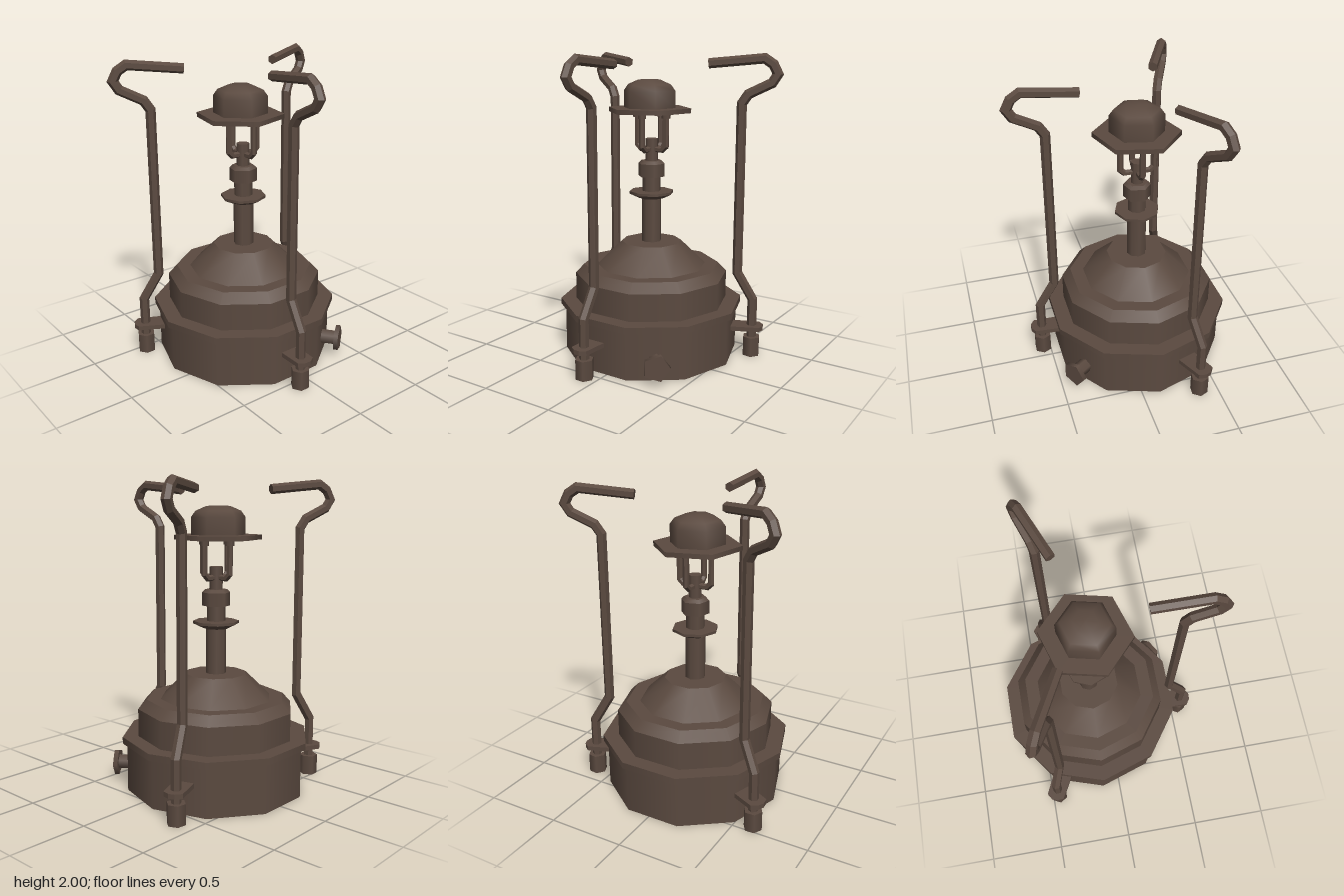
import * as THREE from 'three';

const brown = new THREE.MeshStandardMaterial({ color: 0x5b4a40 });
brown.name = 'agedBrown';
const CX = -0.12, CZ = 0.025; // axis of the tank

function add(parent, name, geometry) {
  const mesh = new THREE.Mesh(geometry, brown);
  mesh.name = name;
  parent.add(mesh);
  return mesh;
}

// Upright tapered prism between two heights
function prism(parent, name, y0, y1, r0, r1, sides, turn = 0) {
  const g = new THREE.CylinderGeometry(r1, r0, y1 - y0, sides, 1, false, turn);
  g.translate(0, (y0 + y1) / 2, 0);
  return add(parent, name, g);
}

// Mitred rod following a path in the local xy plane
function rod(path, r, sides) {
  const pts = path.map(([x, y]) => new THREE.Vector2(x, y));
  const pos = [], idx = [], last = pts.length - 1;
  pts.forEach((p, i) => {
    const before = pts[Math.max(i, 1)].clone().sub(pts[Math.max(i, 1) - 1]).normalize();
    const k = Math.min(i, last - 1);
    const after = pts[k + 1].clone().sub(pts[k]).normalize();
    const t = before.clone().add(after).normalize();
    const miter = 1 / t.dot(after);
    for (let j = 0; j < sides; j++) {
      const a = (j / sides) * Math.PI * 2, c = Math.cos(a) * r * miter;
      pos.push(p.x - t.y * c, p.y + t.x * c, Math.sin(a) * r);
    }
  });
  for (let i = 0; i < last; i++) {
    for (let j = 0; j < sides; j++) {
      const a = i * sides + j, b = i * sides + (j + 1) % sides;
      idx.push(a, b, a + sides, b, b + sides, a + sides);
    }
  }
  for (let j = 1; j < sides - 1; j++) {
    idx.push(0, j + 1, j);
    idx.push(last * sides, last * sides + j, last * sides + j + 1);
  }
  const g = new THREE.BufferGeometry();
  g.setAttribute('position', new THREE.Float32BufferAttribute(pos, 3));
  g.setIndex(idx);
  const flat = g.toNonIndexed();
  flat.computeVertexNormals();
  return flat;
}

// Pot-support leg; local x runs outward from the hook tip
function makeLeg(name, x, z, angle) {
  const leg = new THREE.Group();
  leg.name = name;
  add(leg, 'legRod', rod([
    [0.32, 0.05], [0.32, 0.39], [0.215, 0.57], [0.215, 1.685], [0.255, 1.745], [0.4, 1.815],
    [0.435, 1.87], [0.405, 1.93], [0.35, 1.967], [0, 1.935],
  ], 0.032, 6));
  prism(leg, 'legFoot', 0, 0.13, 0.06, 0.06, 6).position.x = 0.32;

  const plate = new THREE.Shape([
    [0.17, -0.065], [0.37, -0.06], [0.395, -0.02], [0.395, 0.02], [0.37, 0.06], [0.17, 0.065],
  ].map(([u, v]) => new THREE.Vector2(u, v)));
  const g = new THREE.ExtrudeGeometry(plate, { depth: 0.03, bevelEnabled: false });
  g.rotateX(-Math.PI / 2).translate(0, 0.18, 0);
  add(leg, 'legBracket', g);

  leg.position.set(x, 0, z);
  leg.rotation.y = -THREE.MathUtils.degToRad(angle);
  return leg;
}

export function createModel() {
  const model = new THREE.Group();
  model.name = 'campStove';

  const core = new THREE.Group();
  core.name = 'tankAndBurner';
  core.position.set(CX, 0, CZ);
  model.add(core);

  // Fuel tank
  prism(core, 'tankBase', 0, 0.32, 0.585, 0.585, 10);
  prism(core, 'tankFlange', 0.317, 0.36, 0.615, 0.615, 10);
  prism(core, 'tankUpper', 0.36, 0.54, 0.512, 0.512, 10);
  prism(core, 'tankShoulder', 0.54, 0.6, 0.512, 0.455, 10);
  prism(core, 'tankCone', 0.6, 0.76, 0.365, 0.2, 10);

  // Riser pipe with priming cup and nut
  prism(core, 'riserPipe', 0.76, 1.08, 0.066, 0.066, 8);
  prism(core, 'cupBowl', 1.055, 1.085, 0.085, 0.148, 8);
  prism(core, 'cupRim', 1.085, 1.102, 0.148, 0.148, 8);
  prism(core, 'upperPipe', 1.1, 1.2, 0.06, 0.06, 8);
  prism(core, 'nut', 1.2, 1.285, 0.09, 0.09, 6, 0.3);
  prism(core, 'nutTop', 1.285, 1.305, 0.09, 0.07, 6, 0.3);
  prism(core, 'jetPipe', 1.3, 1.45, 0.042, 0.042, 8);

  // Four curved feed tubes
  for (let i = 0; i < 4; i++) {
    const tube = new THREE.Group();
    tube.name = 'feedTube';
    tube.rotation.y = i * Math.PI / 2;
    add(tube, 'feedPipe', rod([[0.02, 1.38], [0.085, 1.38], [0.112, 1.405], [0.112, 1.63]], 0.02, 6));
    prism(tube, 'feedCollar', 1.585, 1.625, 0.029, 0.029, 6).position.x = 0.112;
    core.add(tube);
  }

  // Flame spreader and cap
  const turn = THREE.MathUtils.degToRad(17);
  prism(core, 'burnerPlate', 1.62, 1.65, 0.28, 0.28, 6, turn).position.z = 0.018;
  const capProfile = [[0.174, 1.65], [0.174, 1.76], [0.145, 1.8], [0.075, 1.83], [0, 1.832]]
    .map(([r, y]) => new THREE.Vector2(r, y));
  add(core, 'burnerCap', new THREE.LatheGeometry(capProfile, 6, turn)).position.z = 0.018;

  // Pump knob on the side of the tank
  const pump = new THREE.Group();
  pump.name = 'pump';
  prism(pump, 'pumpShaft', 0.5, 0.66, 0.05, 0.05, 6);
  prism(pump, 'pumpKnob', 0.648, 0.678, 0.088, 0.088, 5);
  pump.position.y = 0.128;
  pump.quaternion.setFromUnitVectors(
    new THREE.Vector3(0, 1, 0), new THREE.Vector3(0.81, 0, -0.586).normalize());
  core.add(pump);

  // Legs
  model.add(makeLeg('leftLeg', 0.23, 0.075, 2.4));
  model.add(makeLeg('frontLeg', -0.311, 0.335, 117));
  model.add(makeLeg('backLeg', -0.25, -0.32, 247));
  return model;
}
